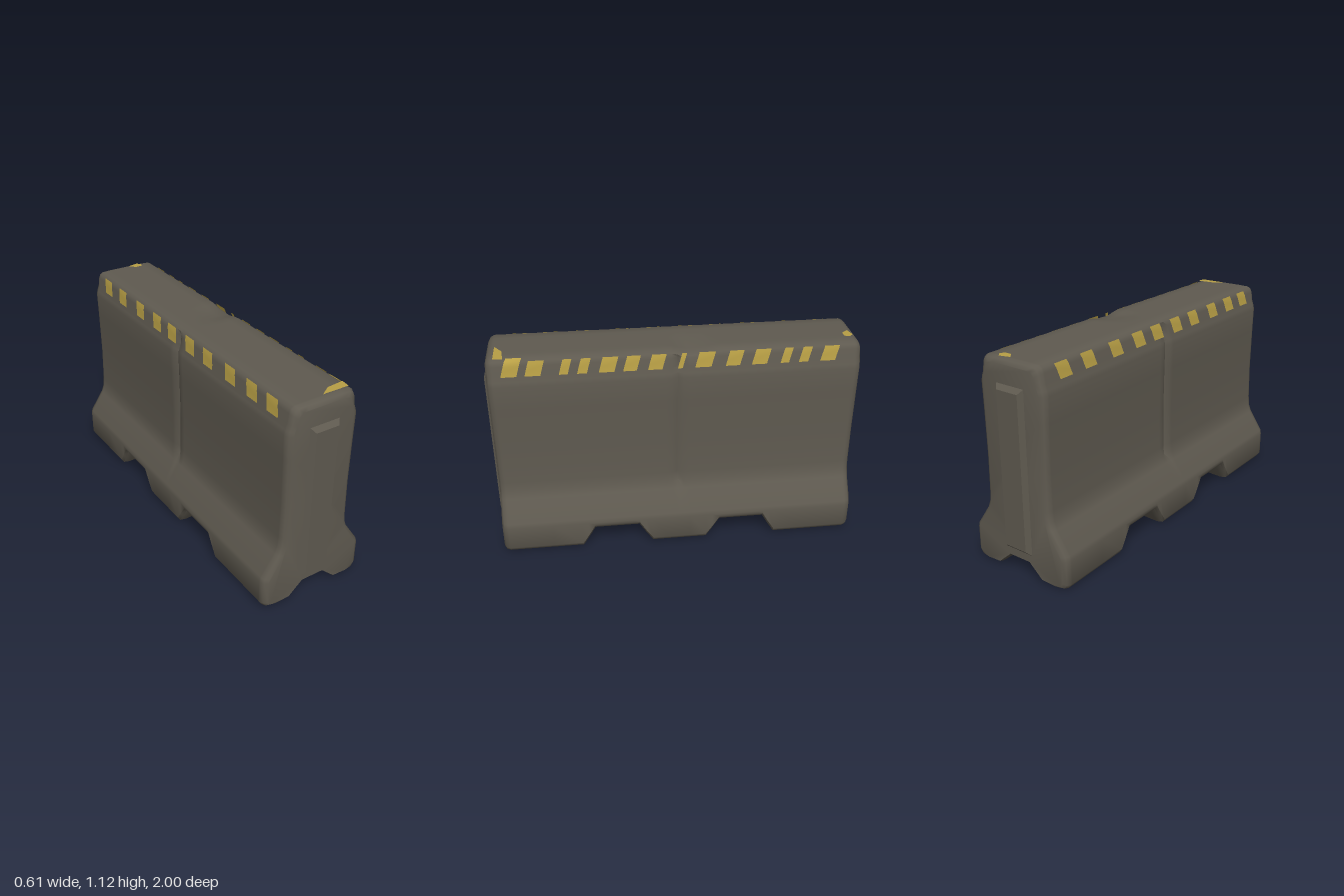
import * as THREE from 'three';
import { toCreasedNormals } from 'three/addons/utils/BufferGeometryUtils.js';

const concrete = new THREE.MeshStandardMaterial({ color: 0x5f5a50 });
concrete.name = 'weathered concrete';
const yellow = new THREE.MeshStandardMaterial({ color: 0xb89f45, side: THREE.DoubleSide });
yellow.name = 'faded yellow paint';

// Half cross-section from the bottom centre, round the foot, up to the top centre
const HALF = [
  [0, 0.09], [0.065, 0.09], [0.14, 0.012], [0.17, 0.008], [0.25, 0.004], [0.288, 0.012],
  [0.303, 0.035], [0.303, 0.165], [0.298, 0.19], [0.22, 0.305], [0.205, 0.345], [0.2, 0.4],
  [0.196, 0.6], [0.2, 0.85], [0.203, 0.98], [0.198, 1.005], [0.187, 1.035], [0.181, 1.085],
  [0.172, 1.108], [0.155, 1.118], [0.1, 1.12], [0, 1.12],
];
const { smoothstep } = THREE.MathUtils;

// Height of the two forklift tunnels under the foot
function tunnel(z) {
  const a = Math.abs(z);
  return 0.12 * Math.min(
    THREE.MathUtils.clamp((a - 0.15) / 0.075, 0, 1),
    THREE.MathUtils.clamp((0.54 - a) / 0.07, 0, 1));
}

// Closed ring of the body at z, pulled in by inset near the ends
function ring(z, inset) {
  const n = tunnel(z);
  const half = side => HALF.map(([x, y], i) => {
    if (i < 7) y = Math.max(y, n + (i === 6 ? 0.03 : i === 5 ? 0.008 : 0));
    // shallow seam round the middle
    if (y > 0.32 && y < 1.1) x -= 0.014 * Math.max(0, 1 - Math.abs(z) / 0.03);
    // worn patch in one top edge
    if (side > 0 && i >= 18 && i <= 20) {
      y -= 0.016 * smoothstep(z, -0.22, -0.12) * (1 - smoothstep(z, -0.06, 0.04));
    }
    // rounding of the ends
    if (x > 0.15) x -= inset;
    if (y > 1.04) y -= inset * smoothstep(y, 1.03, 1.12);
    if (y < 0.05) y += inset * 0.4;
    return [side * x, y];
  });
  return [...half(1), ...half(-1).slice(1, -1).reverse()];
}

function bodyGeometry() {
  const inner = [0, 0.03, 0.06, 0.15, 0.185, 0.225, 0.25, 0.35, 0.45, 0.47, 0.505, 0.54, 0.7, 0.88, 0.935];
  const ends = [[0.945, 0], [0.965, 0.008], [0.977, 0.026]];
  const plus = [...inner.map(z => [z, 0]), ...ends];
  const stations = [...plus.slice(1).reverse().map(([z, k]) => [-z, k]), ...plus];
  const rings = stations.map(([z, k]) => ring(z, k));
  const count = rings[0].length;
  const pos = rings.flatMap((r, s) => r.flatMap(([x, y]) => [x, y, stations[s][0]]));
  const index = [];
  for (let s = 0; s < rings.length - 1; s++) {
    for (let i = 0; i < count; i++) {
      const j = (i + 1) % count;
      const a = s * count + i, b = s * count + j;
      index.push(a, b, b + count, a, b + count, a + count);
    }
  }
  // End caps
  const last = (rings.length - 1) * count;
  const outline = rings[0].map(([x, y]) => new THREE.Vector2(x, y));
  for (const [a, b, c] of THREE.ShapeUtils.triangulateShape(outline, [])) {
    index.push(c, b, a, last + a, last + b, last + c);
  }
  const g = new THREE.BufferGeometry();
  g.setAttribute('position', new THREE.Float32BufferAttribute(pos, 3));
  g.setIndex(index);
  return toCreasedNormals(g, 0.85);
}

// Raised key on an end face, tapered towards its outer side
function keyGeometry() {
  const g = new THREE.BoxGeometry(0.2, 0.9, 0.04);
  const p = g.attributes.position;
  for (let i = 0; i < p.count; i++) {
    if (p.getZ(i) > 0) p.setXYZ(i, p.getX(i) * 0.65, p.getY(i) * 0.91, p.getZ(i));
  }
  g.translate(0, 0.565, 0.98);
  return toCreasedNormals(g, 0.3);
}

// Slanted paint mark that follows the bevel under the top edge
function stripeGeometry(side, z, width, top) {
  const profile = [[0.192, 1.032], [0.1865, 1.06], [0.1835, 1.086], [0.176, 1.11]];
  if (top) profile.push([0.156, 1.121]);
  const pos = [], index = [];
  profile.forEach(([x, y], i) => {
    const shift = 0.012 - i * 0.008;
    pos.push(side * x, y, z - width / 2 + shift, side * x, y, z + width / 2 + shift);
    if (i) {
      const a = 2 * i - 2;
      if (side > 0) index.push(a, a + 2, a + 1, a + 1, a + 2, a + 3);
      else index.push(a, a + 1, a + 2, a + 1, a + 3, a + 2);
    }
  });
  const g = new THREE.BufferGeometry();
  g.setAttribute('position', new THREE.Float32BufferAttribute(pos, 3));
  g.setIndex(index);
  g.computeVertexNormals();
  return g;
}

export function createModel() {
  const model = new THREE.Group();
  model.name = 'roadBarrier';
  const add = (name, geometry, material, parent = model) => {
    const mesh = new THREE.Mesh(geometry, material);
    mesh.name = name;
    parent.add(mesh);
    return mesh;
  };

  add('barrierBody', bodyGeometry(), concrete);
  add('frontKey', keyGeometry(), concrete);
  add('backKey', keyGeometry(), concrete).rotation.y = Math.PI;

  // Warning stripes as [z, width] along each long side
  const left = [
    [0.85, 0.08], [0.73, 0.08], [0.575, 0.045], [0.48, 0.05], [0.355, 0.08], [0.235, 0.07], [0.105, 0.075],
    [-0.025, 0.025], [-0.145, 0.085], [-0.3, 0.075], [-0.44, 0.08], [-0.575, 0.045], [-0.675, 0.05], [-0.805, 0.08],
  ];
  const right = [-0.81, -0.63, -0.42, -0.23, -0.07, 0.11, 0.28, 0.48, 0.66, 0.82].map(z => [z, 0.085]);
  const stripes = new THREE.Group();
  stripes.name = 'warningStripes';
  model.add(stripes);
  left.forEach(([z, w]) => add('leftStripe', stripeGeometry(1, z, w, z > 0.8), yellow, stripes));
  right.forEach(([z, w]) => add('rightStripe', stripeGeometry(-1, z, w, false), yellow, stripes));

  // Worn paint patches on the top, outlined in x and z
  const patch = (name, points) => {
    const shape = new THREE.Shape(points.map(([x, z]) => new THREE.Vector2(x, -z)));
    const g = new THREE.ShapeGeometry(shape).rotateX(-Math.PI / 2).translate(0, 1.1225, 0);
    add(name, g, yellow);
  };
  patch('frontTopPatch', [[0.01, 0.935], [0.16, 0.935], [0.165, 0.885], [0.07, 0.895]]);
  patch('backTopPatch', [[0.02, -0.94], [0.08, -0.955], [0.1, -0.93], [0.09, -0.905], [0.05, -0.905]]);
  return model;
}
